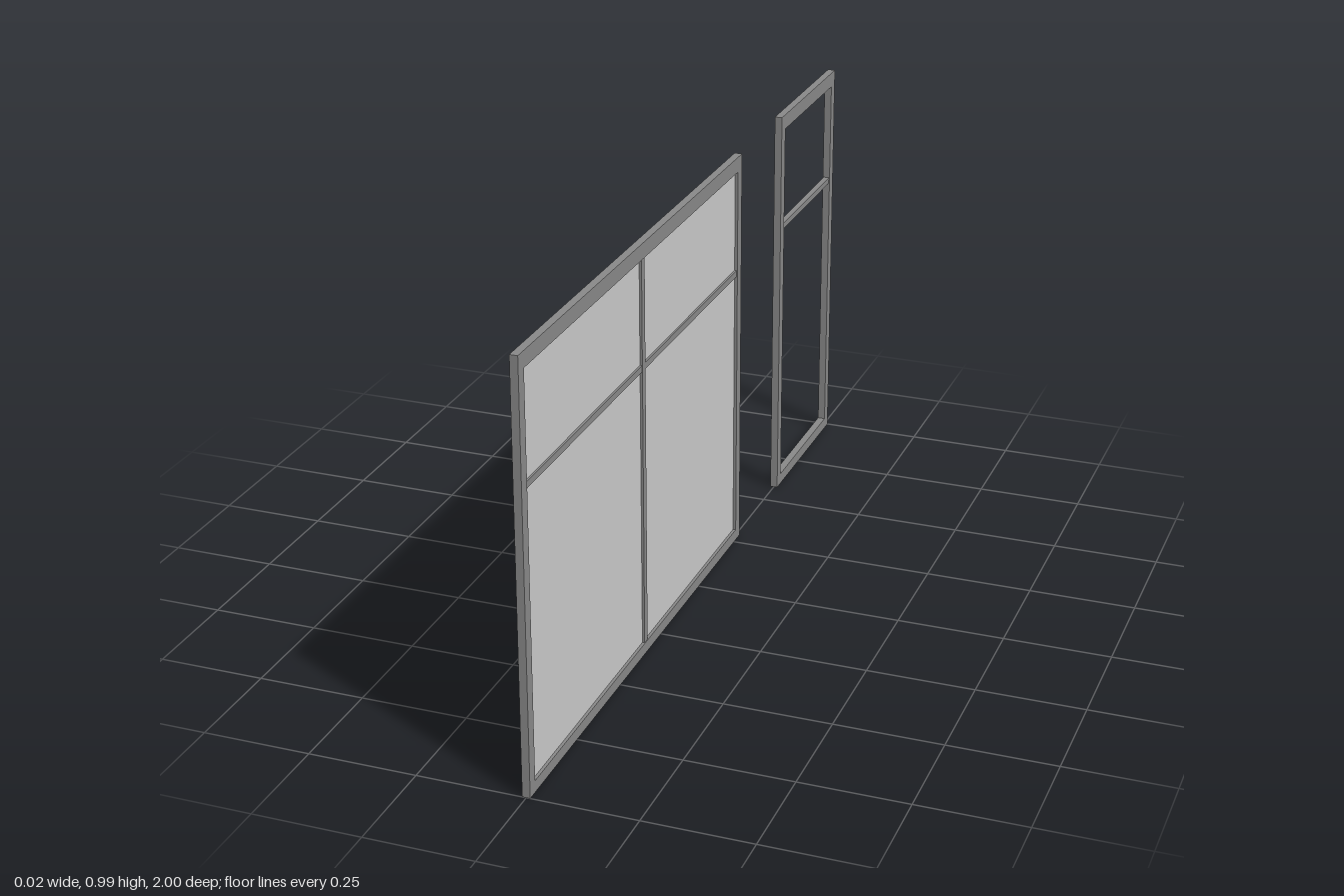
import * as THREE from 'three';

const HEIGHT = 0.985, DEPTH = 0.018;
const SIDE = 0.027, TOP = 0.036, BOTTOM = 0.027;
const BAR_Y = 0.698, BAR = 0.015, BAR_DEPTH = 0.014;

const frameMaterial = new THREE.MeshStandardMaterial({ color: 0x8a8a8a });
const paneMaterial = new THREE.MeshStandardMaterial({ color: 0xcccccc });

// Box centred on x = 0, spanning y0..y1 and z0..z1
function slab(name, depth, y0, y1, z0, z1, material) {
  const mesh = new THREE.Mesh(new THREE.BoxGeometry(depth, y1 - y0, z1 - z0), material);
  mesh.position.set(0, (y0 + y1) / 2, (z0 + z1) / 2);
  mesh.name = name;
  return mesh;
}

// Rectangular surround with an opening, extruded along x
function surround(z0, z1) {
  const shape = new THREE.Shape();
  shape.moveTo(-z1, 0).lineTo(-z0, 0).lineTo(-z0, HEIGHT).lineTo(-z1, HEIGHT).closePath();
  const hole = new THREE.Path();
  const a = -z1 + SIDE, b = -z0 - SIDE, top = HEIGHT - TOP;
  hole.moveTo(a, BOTTOM).lineTo(a, top).lineTo(b, top).lineTo(b, BOTTOM).closePath();
  shape.holes.push(hole);
  const geometry = new THREE.ExtrudeGeometry(shape, { depth: DEPTH, bevelEnabled: false });
  geometry.translate(0, 0, -DEPTH / 2).rotateY(Math.PI / 2);
  const mesh = new THREE.Mesh(geometry, frameMaterial);
  mesh.name = 'frame';
  return mesh;
}

// Window unit: surround, crossbar, optional mullion and pane
function windowUnit(name, z0, z1, mullionZ) {
  const group = new THREE.Group();
  group.name = name;
  const in0 = z0 + SIDE, in1 = z1 - SIDE, top = HEIGHT - TOP;
  group.add(surround(z0, z1));
  group.add(slab('crossbar', BAR_DEPTH, BAR_Y - BAR / 2, BAR_Y + BAR / 2, in0, in1, frameMaterial));
  if (mullionZ !== undefined) {
    group.add(slab('mullion', BAR_DEPTH + 0.001, BOTTOM, top, mullionZ - 0.009, mullionZ + 0.009, frameMaterial));
    group.add(slab('pane', 0.004, BOTTOM, top, in0, in1, paneMaterial));
  }
  return group;
}

export function createModel() {
  const model = new THREE.Group();
  model.name = 'windowFrames';
  model.add(windowUnit('wideGlazedWindow', -0.289, 1, 0.339));
  model.add(windowUnit('narrowOpenWindow', -1, -0.579));
  return model;
}
